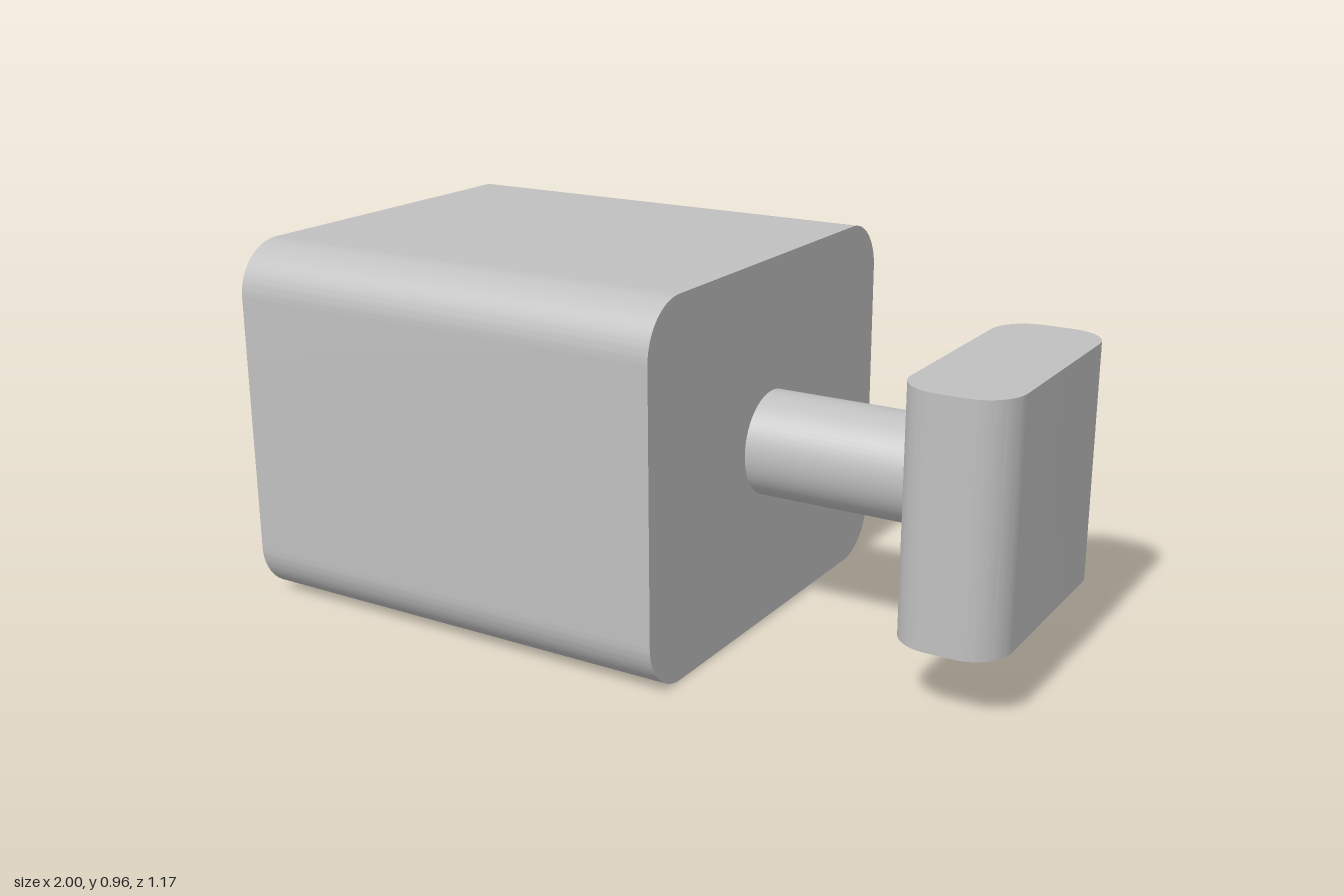
import * as THREE from 'three';
import { toCreasedNormals } from 'three/addons/utils/BufferGeometryUtils.js';

// Rounded rectangle (w by h, corner radius r) extruded to a prism centred on the origin along z
function roundedPrism(w, h, r, depth) {
  const shape = new THREE.Shape();
  const cx = w / 2 - r, cy = h / 2 - r, q = Math.PI / 2;
  [[1, 1], [-1, 1], [-1, -1], [1, -1]].forEach(([sx, sy], i) =>
    shape.absarc(sx * cx, sy * cy, r, i * q, (i + 1) * q, false));
  shape.closePath();
  const geometry = new THREE.ExtrudeGeometry(shape, { depth, bevelEnabled: false, curveSegments: 16 });
  geometry.translate(0, 0, -depth / 2);
  return toCreasedNormals(geometry, Math.PI / 6);
}

export function createModel() {
  const group = new THREE.Group();
  const grey = new THREE.MeshStandardMaterial({ color: 0xc0c0c0 });
  grey.name = 'grey';
  const axisY = 0.484;

  const add = (name, geometry, x, y) => {
    const mesh = new THREE.Mesh(geometry, grey);
    mesh.name = name;
    mesh.position.set(x, y, 0);
    group.add(mesh);
  };

  // Large block, rounded along its x edges
  add('body', roundedPrism(1.17, 0.965, 0.138, 1.237).rotateY(Math.PI / 2), -0.3815, 0.4825);

  // Round shaft joining block and handle
  add('shaft', new THREE.CylinderGeometry(0.137, 0.137, 0.485, 64, 1, true).rotateZ(-Math.PI / 2), 0.4795, axisY);

  // Upright handle plate, rounded along its vertical edges
  add('handle', roundedPrism(0.277, 0.687, 0.103, 0.62).rotateX(-Math.PI / 2), 0.8615, axisY);

  return group;
}
